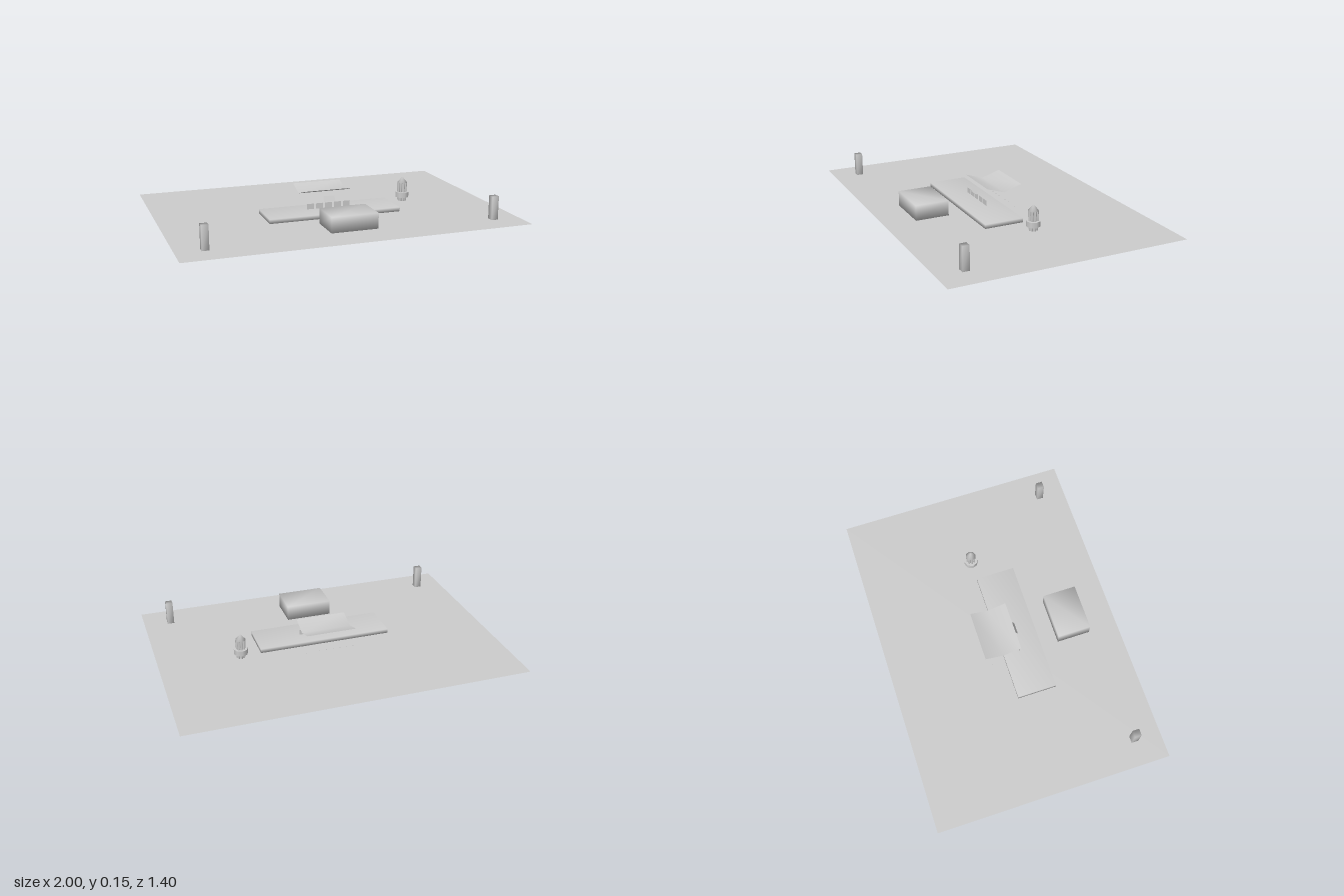
import * as THREE from 'three';
import { mergeVertices } from 'three/addons/utils/BufferGeometryUtils.js';

export function createModel() {
  const model = new THREE.Group();
  model.name = 'courtyard';
  const stone = new THREE.MeshStandardMaterial({ color: 0xcccccc, side: THREE.DoubleSide });
  stone.name = 'pale grey stone';

  const add = (name, geometry, x = 0, y = 0, z = 0, parent = model) => {
    const mesh = new THREE.Mesh(geometry, stone);
    mesh.name = name;
    mesh.position.set(x, y, z);
    parent.add(mesh);
    return mesh;
  };

  // Weld corners so shading runs smoothly across the faces
  const smooth = (geometry) => {
    geometry.deleteAttribute('normal');
    geometry.deleteAttribute('uv');
    const welded = mergeVertices(geometry);
    welded.computeVertexNormals();
    return welded;
  };

  // Box given by its limits on each axis
  const block = (name, x0, x1, y0, y1, z0, z1) =>
    add(name, smooth(new THREE.BoxGeometry(x1 - x0, y1 - y0, z1 - z0)),
      (x0 + x1) / 2, (y0 + y1) / 2, (z0 + z1) / 2);

  // Ground
  add('ground', new THREE.PlaneGeometry(2, 1.4).rotateX(-Math.PI / 2));

  // Low platform and the block in front of it
  block('platform', -0.4, 0.4, 0.003, 0.028, -0.02, 0.215);
  block('frontBlock', -0.14, 0.135, 0.01, 0.1, 0.32, 0.52);

  // Gate posts
  for (const side of [-1, 1]) {
    const x = side * 0.84;
    block(side > 0 ? 'leftPost' : 'rightPost', x - 0.02, x + 0.02, 0.002, 0.14, 0.52, 0.56);
  }

  // V-shaped canopy: an open sheet folded along a valley
  const canopy = new THREE.PlaneGeometry(0.3, 0.22, 1, 2).rotateX(-Math.PI / 2);
  const p = canopy.attributes.position;
  for (let i = 0; i < p.count; i++) p.setY(i, Math.abs(p.getZ(i)) > 0.01 ? 0.135 : 0.1);
  canopy.computeVertexNormals();
  add('canopy', canopy, 0, 0, -0.03);

  // Row of small upright panels on the platform
  for (let i = -2; i <= 2; i++) {
    add('panel', new THREE.PlaneGeometry(0.044, 0.032), i * 0.056, 0.044, 0.08);
  }

  // Tilted plate above the panels
  add('upperPlate', new THREE.PlaneGeometry(0.07, 0.034), 0, 0.085, 0.092).rotation.x = -0.45;

  // Tiny studs in a row on the ground behind
  for (let i = 0; i < 8; i++) {
    add('stud', new THREE.BoxGeometry(0.004, 0.003, 0.004), -0.147 + i * 0.042, 0.0015, -0.1);
  }

  // Small pointed tower with ribs and a collar
  const tower = new THREE.Group();
  tower.name = 'tower';
  tower.position.set(0.52, 0, -0.02);
  model.add(tower);
  add('towerCore', new THREE.CylinderGeometry(0.022, 0.022, 0.115, 8), 0, 0.0575, 0, tower);
  add('towerCap', smooth(new THREE.ConeGeometry(0.031, 0.036, 8)), 0, 0.133, 0, tower);
  add('towerCollar', new THREE.CylinderGeometry(0.042, 0.042, 0.032, 8), 0, 0.041, 0, tower);
  for (let i = 0; i < 8; i++) {
    const a = (i / 8) * Math.PI * 2;
    add('towerRib', smooth(new THREE.CylinderGeometry(0.009, 0.005, 0.115, 5)),
      Math.cos(a) * 0.022, 0.0575, Math.sin(a) * 0.022, tower);
  }

  return model;
}
